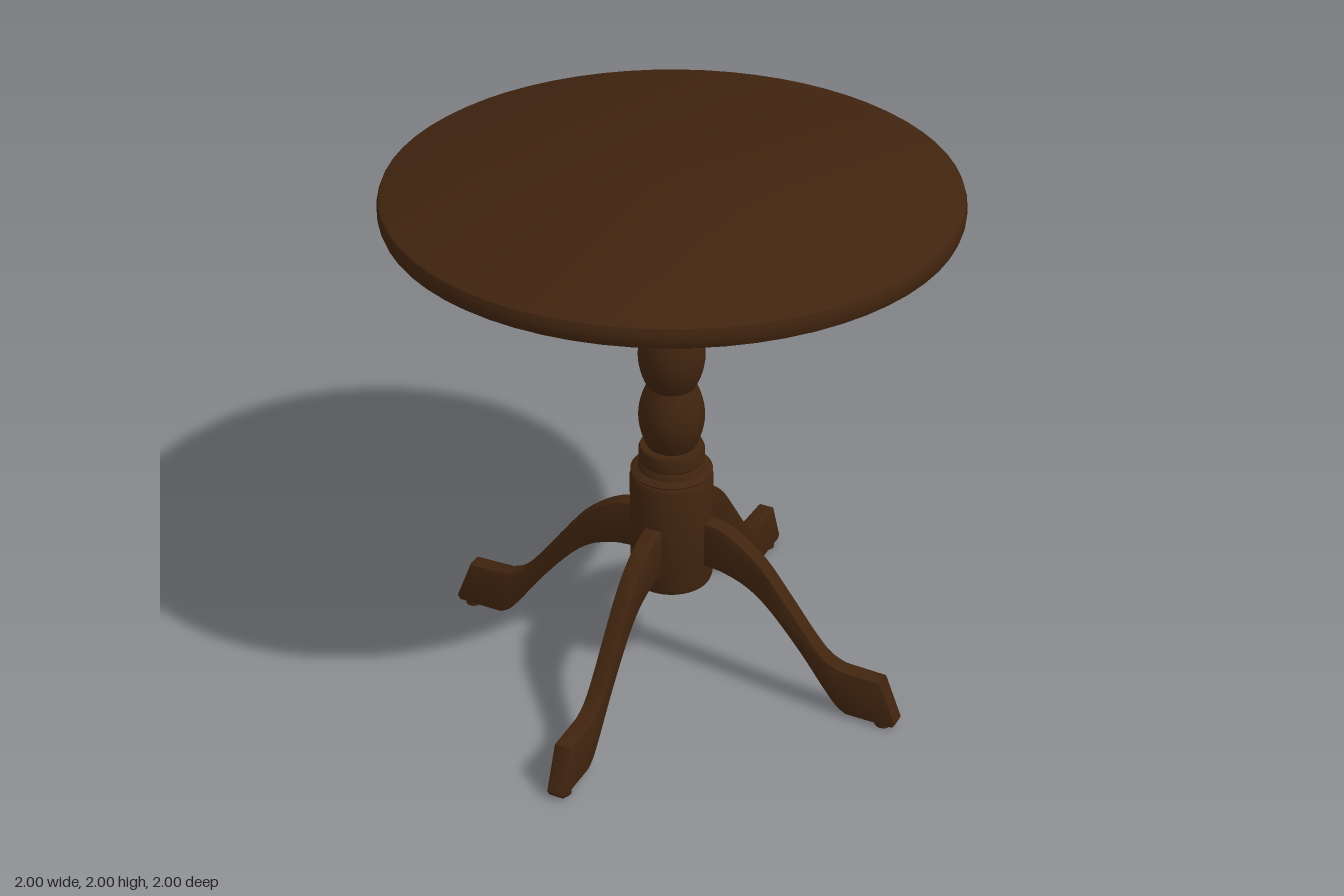
import * as THREE from 'three';
import { toCreasedNormals } from 'three/addons/utils/BufferGeometryUtils.js';

const wood = new THREE.MeshStandardMaterial({ color: 0x40240f });
wood.name = 'dark wood';

function addMesh(parent, name, geometry) {
  const mesh = new THREE.Mesh(toCreasedNormals(geometry, 0.6), wood);
  mesh.name = name;
  parent.add(mesh);
  return mesh;
}

// Turned part from [radius, height] pairs, bottom to top
const turned = (points, sides = 48) =>
  new THREE.LatheGeometry(points.map(([r, y]) => new THREE.Vector2(r, y)), sides);

// Column profile with two beads between stepped collars
function columnProfile() {
  const p = [[0, 0.4], [0.135, 0.4], [0.148, 0.408], [0.153, 0.425], [0.153, 0.84], [0.146, 0.856],
    [0.134, 0.86], [0.148, 0.864], [0.15, 0.871], [0.138, 0.879], [0.124, 0.884], [0.12, 0.9],
    [0.114, 0.908], [0.12, 0.915], [0.12, 0.96], [0.115, 0.972], [0.085, 0.972]];
  for (const base of [0.972, 1.22]) {
    for (let i = 0; i <= 12; i++) {
      const t = i / 12;
      p.push([0.087 + 0.033 * Math.pow(Math.sin(Math.PI * t), 0.85), base + 0.248 * t]);
    }
  }
  p.push([0.115, 1.468], [0.12, 1.474], [0.12, 1.525], [0.126, 1.55], [0.14, 1.563], [0.15, 1.572],
    [0.152, 1.58], [0.138, 1.586], [0.15, 1.594], [0.162, 1.604], [0.165, 1.62], [0.162, 1.636],
    [0.153, 1.643], [0.153, 1.875]);
  return p;
}

// Side outline of a curved leg: x is the distance from the column's axis
function legGeometry() {
  const v = (list) => list.map(([x, y]) => new THREE.Vector2(x, y));
  const s = new THREE.Shape();
  s.moveTo(0.1, 0.5);
  s.lineTo(0.1, 0.69);
  s.lineTo(0.13, 0.69);
  s.splineThru(v([[0.21, 0.675], [0.29, 0.632], [0.38, 0.555], [0.475, 0.435],
    [0.575, 0.302], [0.64, 0.232], [0.7, 0.203]]));
  s.lineTo(0.86, 0.198);
  s.lineTo(0.926, 0.032);
  s.lineTo(0.915, 0.014);
  s.lineTo(0.73, 0.014);
  s.splineThru(v([[0.69, 0.04], [0.64, 0.1], [0.54, 0.235], [0.42, 0.375],
    [0.33, 0.45], [0.23, 0.49], [0.15, 0.5]]));
  const g = new THREE.ExtrudeGeometry(s, {
    depth: 0.052, curveSegments: 24, bevelThickness: 0.007, bevelSize: 0.007,
    bevelOffset: -0.007, bevelSegments: 2,
  });
  return g.translate(0, 0, -0.026);
}

export function createModel() {
  const table = new THREE.Group();
  table.name = 'pedestalTable';

  // Round top with softened rim
  addMesh(table, 'tableTop', turned([[0, 1.92], [0.982, 1.92], [0.993, 1.927], [0.999, 1.945],
    [1, 1.96], [0.999, 1.975], [0.993, 1.993], [0.982, 2], [0, 2]], 64));

  const base = new THREE.Group();
  base.name = 'base';
  base.position.set(-0.003, 0, 0.003);
  table.add(base);
  addMesh(base, 'mountingPlate', turned([[0, 1.872], [0.307, 1.872], [0.307, 1.921], [0, 1.921]]));
  addMesh(base, 'column', turned(columnProfile()));

  // Four legs, each with a floor pad and a bolt under the plate
  for (let i = 0; i < 4; i++) {
    const quarter = new THREE.Group();
    quarter.name = 'legAssembly' + (i + 1);
    quarter.rotation.y = THREE.MathUtils.degToRad(-53 + 90 * i);
    base.add(quarter);
    addMesh(quarter, 'leg', legGeometry());
    addMesh(quarter, 'footPad', new THREE.CylinderGeometry(0.032, 0.032, 0.02, 20))
      .position.set(0.868, 0.01, 0);
    addMesh(quarter, 'boltWasher', new THREE.CylinderGeometry(0.028, 0.028, 0.012, 16))
      .position.set(0.25, 1.867, 0);
    addMesh(quarter, 'boltHead', new THREE.CylinderGeometry(0.016, 0.012, 0.022, 6))
      .position.set(0.25, 1.852, 0);
  }
  return table;
}
